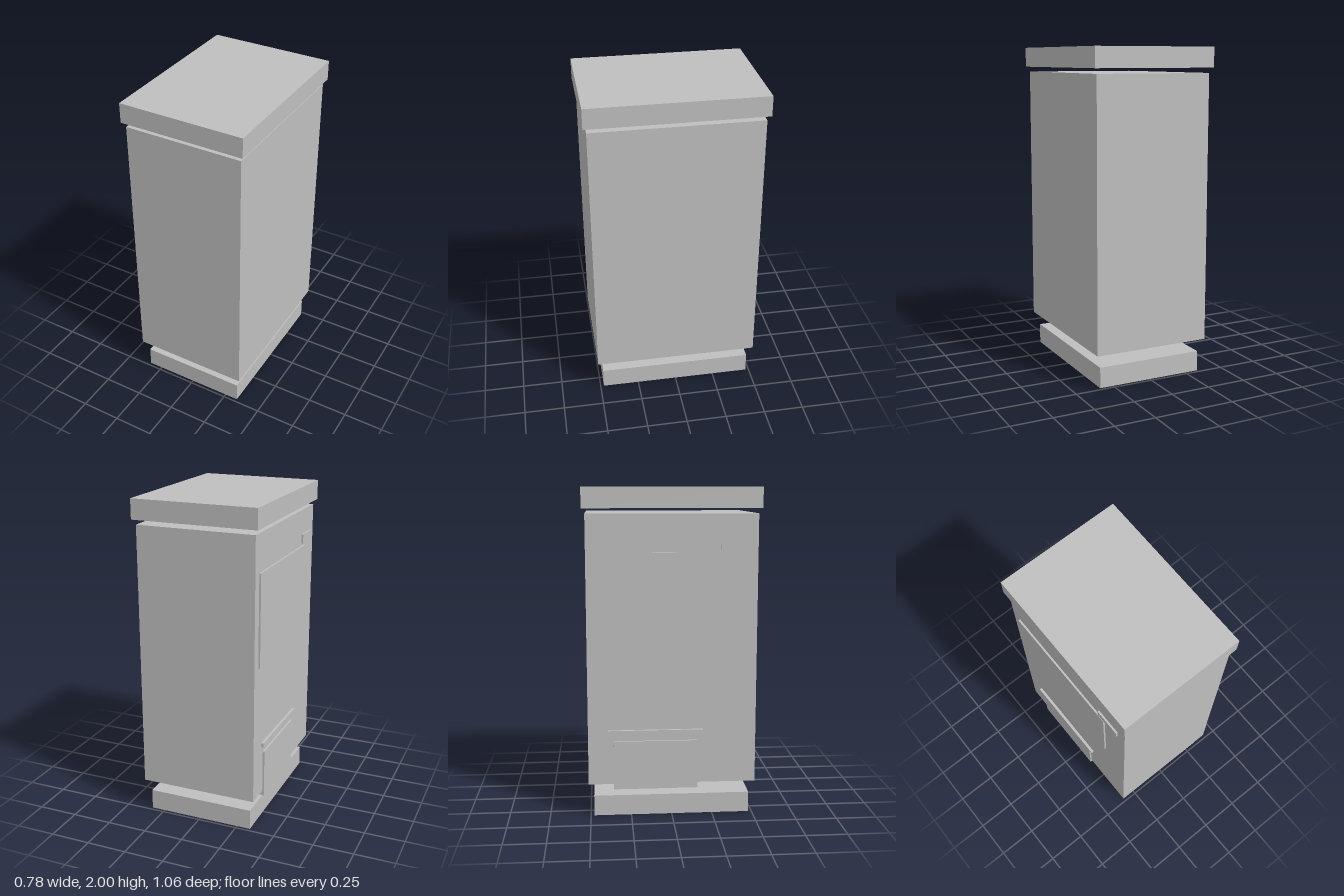
import * as THREE from 'three';

export function createModel() {
  const model = new THREE.Group();
  const grey = new THREE.MeshStandardMaterial({ color: 0xbfbfbf });
  grey.name = 'light grey';

  // Box given by its extents along each axis
  function block(name, [x0, x1], [y0, y1], [z0, z1]) {
    const mesh = new THREE.Mesh(new THREE.BoxGeometry(x1 - x0, y1 - y0, z1 - z0), grey);
    mesh.position.set((x0 + x1) / 2, (y0 + y1) / 2, (z0 + z1) / 2);
    mesh.name = name;
    model.add(mesh);
  }

  // Floating stack: base, cabinet body and lid
  block('base', [-0.337, 0.335], [0, 0.127], [-0.479, 0.479]);
  block('body', [-0.369, 0.367], [0.211, 1.847], [-0.511, 0.511]);
  block('lid', [-0.389, 0.387], [1.878, 2], [-0.531, 0.531]);

  // Fittings on the -x side
  block('displayPanel', [-0.38, -0.36], [1.05, 1.62], [-0.45, 0.335]);
  block('smallPlate', [-0.38, -0.36], [1.635, 1.693], [0.288, 0.45]);
  block('ledge', [-0.386, -0.36], [0.524, 0.55], [-0.39, 0.187]);
  block('lowerTray', [-0.38, -0.3], [0.18, 0.481], [-0.356, 0.155]);

  return model;
}
